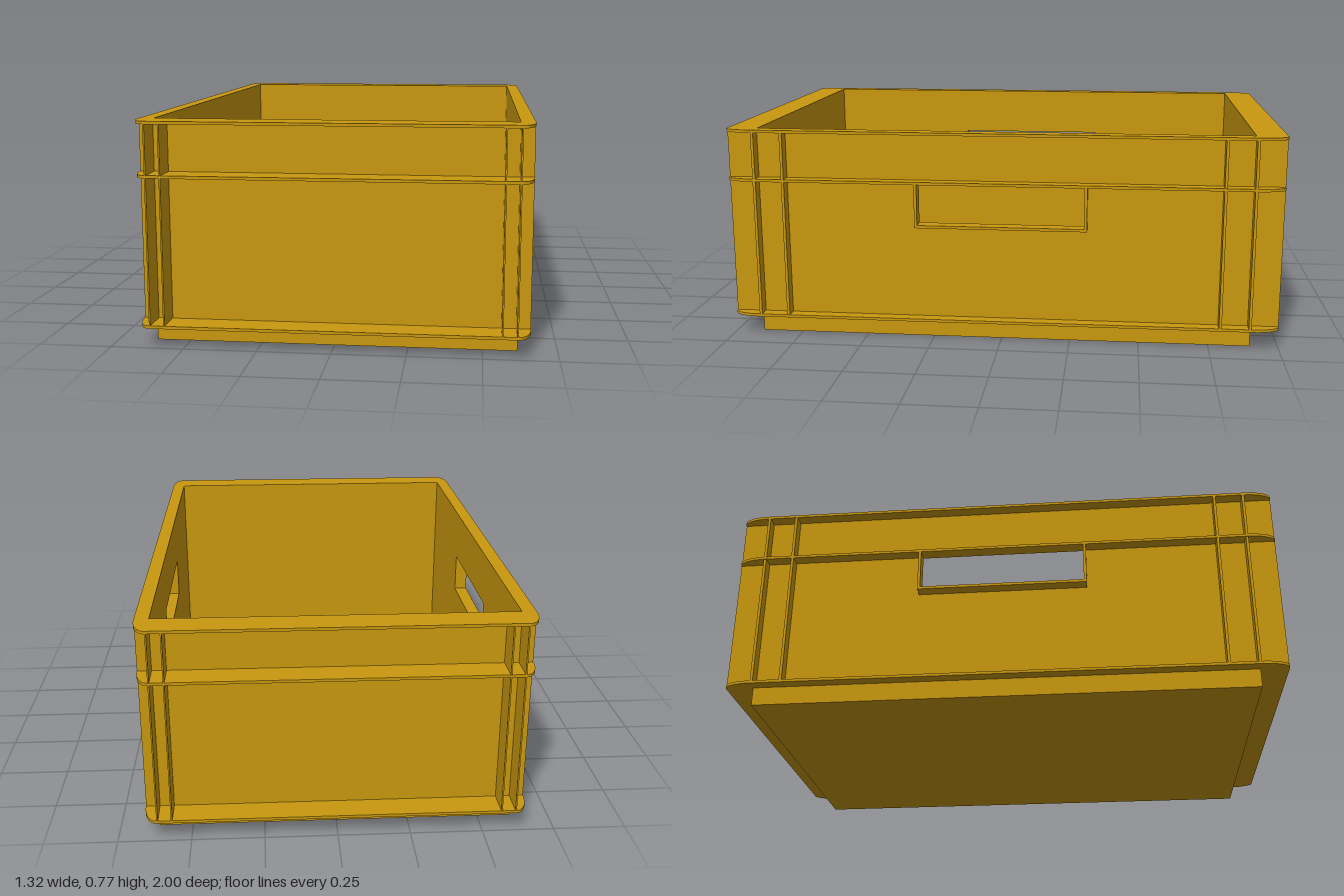
import * as THREE from 'three';

const HX = 0.66, HZ = 1.0;            // outer half sizes of the rims
const WX = 0.616, WZ = 0.9;           // outer half sizes of the walls
const IX = 0.611, IZ = 0.89;          // inner half sizes of the walls
const LOW = 0.067, MID = 0.578, TOP = 0.757, RIM = 0.01;

export function createModel() {
  const crate = new THREE.Group();
  crate.name = 'crate';
  const material = new THREE.MeshStandardMaterial({ color: 0xc9980f });

  const add = (name, geometry) => {
    const mesh = new THREE.Mesh(geometry, material);
    mesh.name = name;
    crate.add(mesh);
    return mesh;
  };
  // Box given by its minimum and maximum corners
  const box = (name, x0, x1, y0, y1, z0, z1) => {
    const mesh = add(name, new THREE.BoxGeometry(Math.abs(x1 - x0), y1 - y0, Math.abs(z1 - z0)));
    mesh.position.set((x0 + x1) / 2, (y0 + y1) / 2, (z0 + z1) / 2);
  };
  const rectPath = (x0, x1, y0, y1) => new THREE.Path([
    new THREE.Vector2(x0, y0), new THREE.Vector2(x0, y1),
    new THREE.Vector2(x1, y1), new THREE.Vector2(x1, y0),
  ]);

  // Horizontal rim plates with elliptical corners
  const rim = (name, y, holeX, holeZ) => {
    const rx = HX - WX, rz = HZ - WZ;
    const outline = new THREE.Shape();
    outline.absellipse(WX, WZ, rx, rz, 0, Math.PI / 2);
    outline.absellipse(-WX, WZ, rx, rz, Math.PI / 2, Math.PI);
    outline.absellipse(-WX, -WZ, rx, rz, Math.PI, Math.PI * 1.5);
    outline.absellipse(WX, -WZ, rx, rz, Math.PI * 1.5, Math.PI * 2);
    outline.holes.push(rectPath(-holeX, holeX, -holeZ, holeZ));
    const geometry = new THREE.ExtrudeGeometry(outline, { depth: RIM, bevelEnabled: false, curveSegments: 8 });
    geometry.rotateX(-Math.PI / 2);
    add(name, geometry).position.y = y;
  };
  rim('bottomRim', LOW, 0.613, 0.895);
  rim('middleRim', MID, 0.613, 0.895);
  rim('topRim', TOP, IX, IZ);

  // Solid base, its top is the inside floor
  box('base', -WX, WX, 0, 0.078, -WZ, WZ);

  // Long wall with a handle opening
  const wallShape = new THREE.Shape([
    new THREE.Vector2(-WZ, 0.078), new THREE.Vector2(WZ, 0.078),
    new THREE.Vector2(WZ, TOP), new THREE.Vector2(-WZ, TOP),
  ]);
  wallShape.holes.push(rectPath(-0.3, 0.3, 0.43, MID));
  const wallGeometry = new THREE.ExtrudeGeometry(wallShape, { depth: WX - IX, bevelEnabled: false });
  wallGeometry.rotateY(Math.PI / 2);

  for (const s of [-1, 1]) {
    add('longWall', wallGeometry).position.x = s > 0 ? IX : -WX;
    box('endWall', -IX, IX, 0.078, TOP, s * IZ, s * WZ);

    // Frame around the handle opening
    box('handleSill', s * WX, s * HX, 0.42, 0.43, -0.31, 0.31);
    for (const e of [-1, 1]) {
      box('handleCheek', s * WX, s * HX, 0.43, MID, e * 0.3, e * 0.31);
    }

    // Vertical ribs near every corner, between the rims
    for (const e of [-1, 1]) {
      for (const [y0, y1] of [[LOW + RIM, MID], [MID + RIM, TOP]]) {
        for (const z of [0.785, 0.89]) {
          box('sideRib', s * WX, s * (HX - 0.001), y0, y1, e * z, e * (z + 0.01));
        }
        for (const x of [0.562, 0.611]) {
          box('endRib', s * x, s * (x + 0.005), y0, y1, e * WZ, e * (HZ - 0.001));
        }
      }
    }
  }
  return crate;
}
